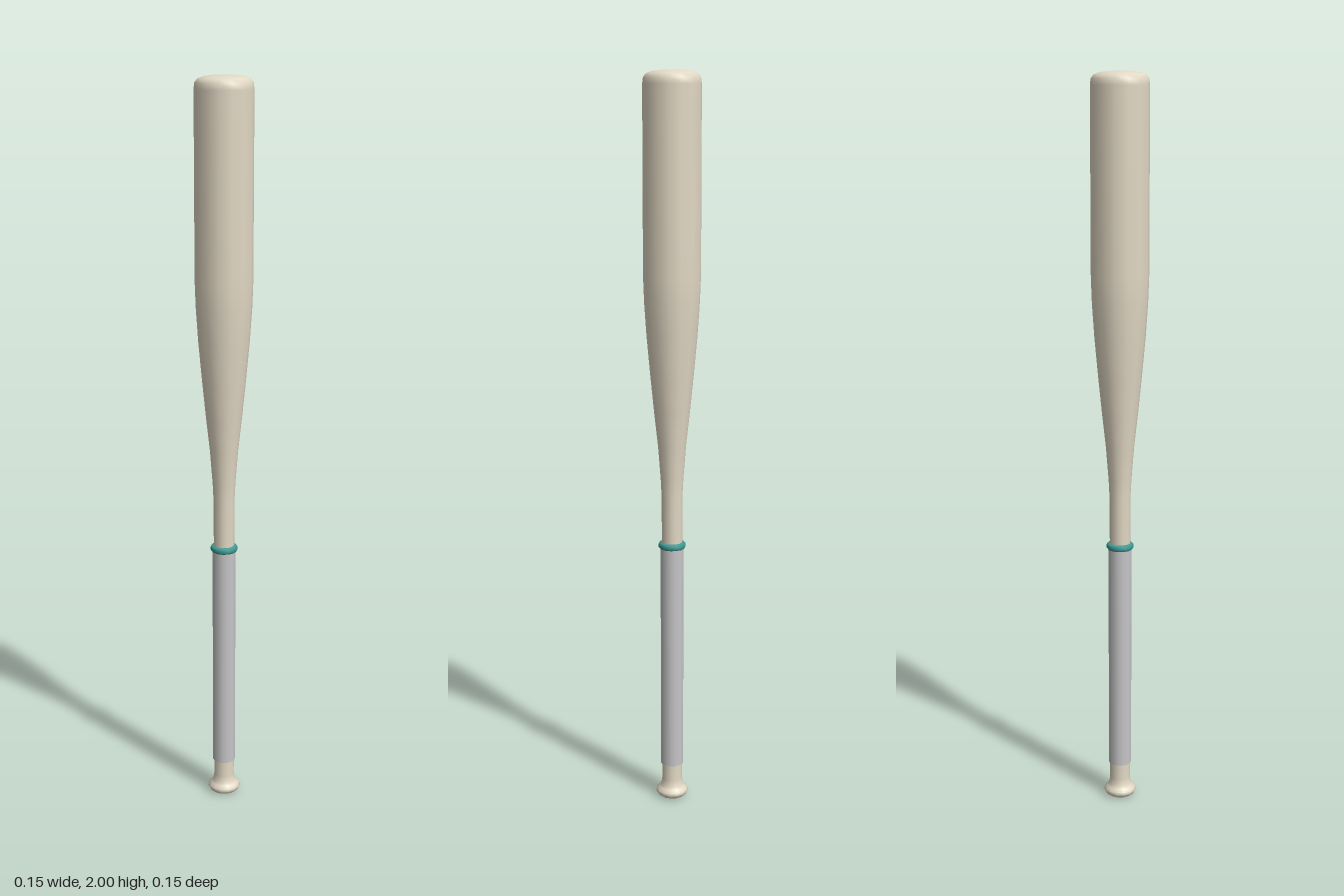
import * as THREE from 'three';

const SIDES = 14;

// Turned part from [radius, height] pairs, listed bottom to top
function turned(name, profile, material) {
  const points = profile.map(([r, y]) => new THREE.Vector2(r, y));
  const mesh = new THREE.Mesh(new THREE.LatheGeometry(points, SIDES, Math.PI / 2), material);
  mesh.name = name;
  return mesh;
}

export function createModel() {
  const wood = new THREE.MeshStandardMaterial({ color: 0xe2d8c4 });
  wood.name = 'pale wood';
  const tape = new THREE.MeshStandardMaterial({ color: 0xc6c6c8 });
  tape.name = 'grey grip tape';
  const teal = new THREE.MeshStandardMaterial({ color: 0x3f9a94 });
  teal.name = 'teal band';

  const bat = new THREE.Group();
  bat.name = 'baseballBat';

  // Rounded knob flaring out of the lower handle
  bat.add(turned('knob', [
    [0, 0], [0.034, 0.003], [0.041, 0.008], [0.0445, 0.015], [0.0435, 0.022],
    [0.037, 0.029], [0.031, 0.037], [0.028, 0.055], [0.028, 0.11],
  ], wood));

  // Wrapped grip with closed ends
  bat.add(turned('grip', [
    [0.027, 0.1], [0.0315, 0.1], [0.0315, 0.1], [0.0315, 0.735], [0.0315, 0.735], [0.027, 0.735],
  ], tape));

  // Small rounded band at the top of the grip
  bat.add(turned('gripBand', [
    [0.027, 0.733], [0.034, 0.734], [0.037, 0.738], [0.037, 0.746], [0.034, 0.75], [0.027, 0.751],
  ], teal));

  // Handle widening into the barrel, with a softly domed tip
  bat.add(turned('barrel', [
    [0.028, 0.725], [0.0285, 0.88], [0.031, 0.93], [0.038, 1.02], [0.048, 1.11],
    [0.058, 1.21], [0.068, 1.32], [0.074, 1.41], [0.0765, 1.48], [0.0765, 1.965],
    [0.0745, 1.981], [0.067, 1.991], [0.05, 1.997], [0.025, 1.9995], [0, 2],
  ], wood));

  return bat;
}
